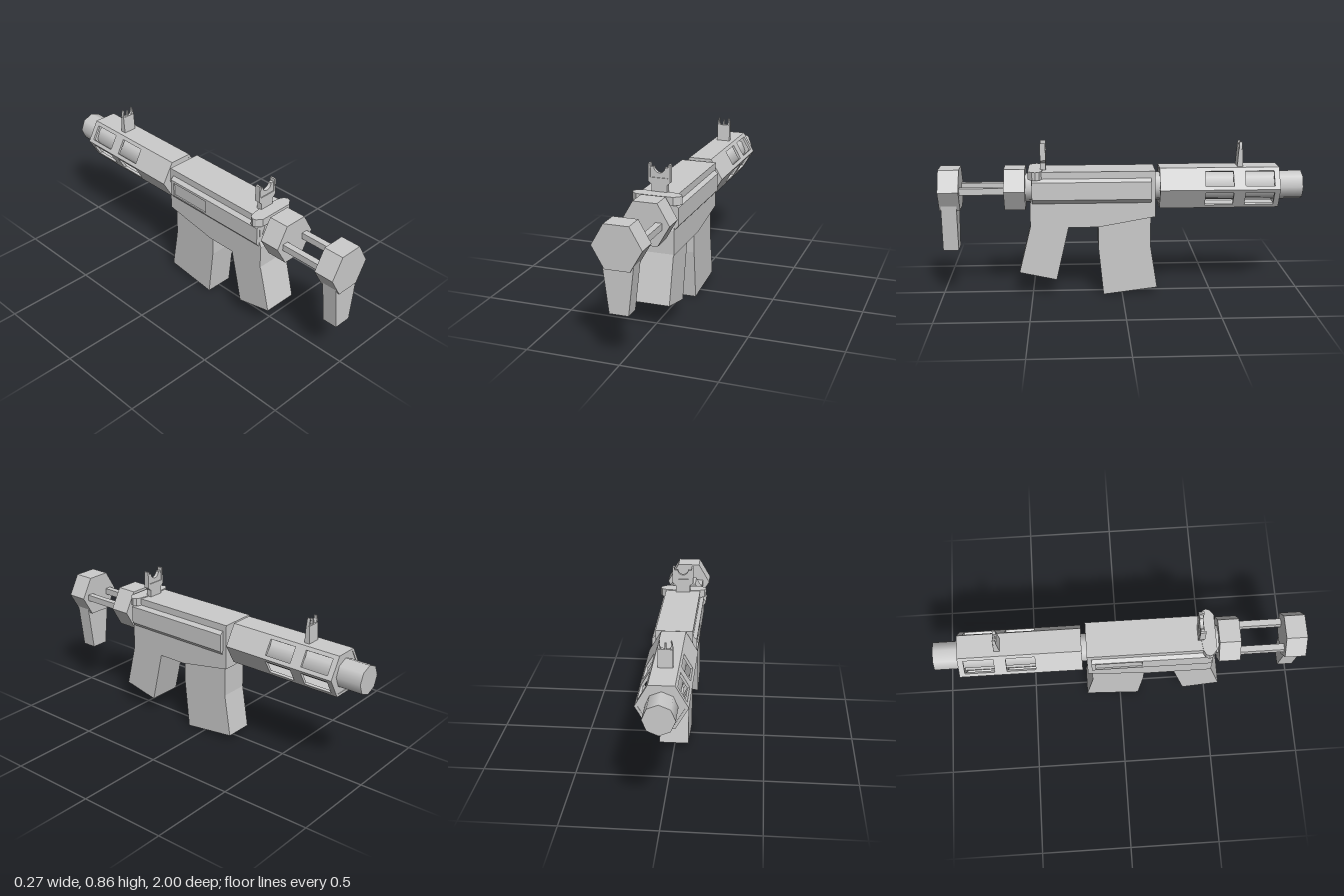
import * as THREE from 'three';

const AXIS = 0.607; // height of the barrel axis
const HEX = 0.13; // hexagon corner radius
const flat = new THREE.MeshStandardMaterial({ color: 0xcccccc, flatShading: true });
const smooth = new THREE.MeshStandardMaterial({ color: 0xcccccc });

const poly = (pts) => new THREE.Shape(pts.map(([a, b]) => new THREE.Vector2(a, b)));
const rect = (x0, y0, x1, y1) => poly([[x0, y0], [x1, y0], [x1, y1], [x0, y1]]);
const extrude = (shape, depth) =>
  new THREE.ExtrudeGeometry(shape, { depth, bevelEnabled: false, curveSegments: 10 });

// Side outline given as [z, y], extruded to a width centred on x = 0
function sideSlab(pts, halfWidth) {
  return extrude(poly(pts), halfWidth * 2).translate(0, 0, -halfWidth).rotateY(-Math.PI / 2);
}

// Front outline in x, y running from z0 to z1
const run = (shape, z0, z1) => extrude(shape, z1 - z0).translate(0, 0, z0);

function hexShape(r) {
  return poly([0, 1, 2, 3, 4, 5].map((i) => [r * Math.cos(i * Math.PI / 3), r * Math.sin(i * Math.PI / 3)]));
}

export function createModel() {
  const model = new THREE.Group();
  const add = (name, geometry, parent = model, material = flat) => {
    const mesh = new THREE.Mesh(geometry, material);
    mesh.name = name;
    parent.add(mesh);
    return mesh;
  };

  // Barrel tube running the whole length through receiver and handguard
  const barrel = new THREE.CylinderGeometry(0.08, 0.08, 1.54, 8).rotateX(Math.PI / 2);
  add('barrel', barrel.translate(0, AXIS, -0.23), model, smooth);

  // Hollow hexagonal handguard: six wall panels, slotted on the four slanted sides
  const handguard = new THREE.Group();
  handguard.name = 'handguard';
  handguard.position.y = AXIS;
  model.add(handguard);
  for (let i = 0; i < 6; i++) {
    const wall = rect(-HEX / 2, 0.205, HEX / 2, 0.865);
    if (i % 3 !== 0) {
      for (const [a, b] of [[0.455, 0.61], [0.675, 0.835]]) wall.holes.push(rect(-0.044, a, 0.044, b));
    }
    const apothem = HEX * Math.cos(Math.PI / 6);
    const panel = extrude(wall, 0.014).rotateX(-Math.PI / 2).translate(0, apothem - 0.014, 0);
    add('handguardWall', panel.rotateZ(i * Math.PI / 3), handguard);
  }
  for (const z of [-0.862, -0.222]) {
    const cap = hexShape(0.122);
    cap.holes.push(new THREE.Path().absarc(0, 0, 0.072, 0, Math.PI * 2, true));
    add('handguardCap', run(cap, z, z + 0.014), handguard);
  }

  // Stock: two hexagonal blocks joined by a pair of rods, with a tapered foot
  for (const [name, z0, z1] of [['stockCollar', 0.53, 0.645], ['stockEnd', 0.887, 1]]) {
    add(name, run(hexShape(HEX), z0, z1).translate(0, AXIS, 0));
  }
  for (const s of [-1, 1]) {
    add('stockRod', new THREE.BoxGeometry(0.035, 0.036, 0.28).translate(s * 0.073, 0.603, 0.766));
  }
  add('stockFoot', run(poly([[-0.05, 0.265], [0.05, 0.265], [0.081, 0.525], [-0.081, 0.525]]), 0.905, 0.99));

  // Receiver body, grip and magazine
  add('receiver', sideSlab([
    [-0.18, 0.455], [0.13, 0.4], [0.505, 0.4], [0.505, 0.535], [0.495, 0.56], [0.495, 0.71], [-0.18, 0.71],
  ], 0.1));
  add('grip', sideSlab([[0.295, 0.405], [0.365, 0.1], [0.57, 0.145], [0.505, 0.405]], 0.097));
  add('magazine', sideSlab([
    [0.133, 0.42], [0.133, 0.28], [0.105, 0.005], [-0.195, 0.042], [-0.157, 0.28], [-0.157, 0.48],
  ], 0.08));

  // Chamfered side rails; the right one is split around a recessed port
  const rail = [[0.095, 0.535], [0.1, 0.535], [0.12, 0.558], [0.12, 0.655], [0.1, 0.672], [0.095, 0.672]];
  const lower = [[0.095, 0.535], [0.1, 0.535], [0.12, 0.558], [0.12, 0.566], [0.095, 0.566]];
  const upper = [[0.095, 0.641], [0.12, 0.641], [0.12, 0.655], [0.1, 0.672], [0.095, 0.672]];
  const mirror = (pts) => pts.map(([x, y]) => [-x, y]);
  add('leftRail', run(poly(rail), -0.157, 0.493));
  const rightRail = new THREE.Group();
  rightRail.name = 'rightRail';
  model.add(rightRail);
  add('railFront', run(poly(mirror(rail)), -0.157, -0.135), rightRail);
  add('railRear', run(poly(mirror(rail)), 0.115, 0.493), rightRail);
  add('railLower', run(poly(mirror(lower)), -0.135, 0.115), rightRail);
  add('railUpper', run(poly(mirror(upper)), -0.135, 0.115), rightRail);
  add('portCover', new THREE.BoxGeometry(0.02, 0.08, 0.252).translate(-0.102, 0.603, -0.01), rightRail);

  // Charging handle with rounded wing tips, outlined from above
  const wing = [[0.055, 0.435], [0.1, 0.44], [0.125, 0.452], [0.134, 0.472], [0.128, 0.49], [0.1, 0.513]];
  const outline = [...wing, ...mirror(wing).reverse()].map(([x, z]) => [x, -z]);
  add('chargingHandle', extrude(poly(outline), 0.045).rotateX(-Math.PI / 2).translate(0, 0.67, 0));

  // Rear sight: outer bracket with a thinner notched plate inside
  const rearSight = new THREE.Group();
  rearSight.name = 'rearSight';
  model.add(rearSight);
  add('sightBracket', run(poly([
    [-0.042, 0.7], [0.042, 0.7], [0.042, 0.75], [0.06, 0.766], [0.06, 0.86], [0.049, 0.86],
    [0.049, 0.788], [-0.049, 0.788], [-0.049, 0.86], [-0.06, 0.86], [-0.06, 0.766], [-0.042, 0.75],
  ]), 0.417, 0.447), rearSight);
  const plate = new THREE.Shape();
  plate.moveTo(-0.05, 0.78).lineTo(0.05, 0.78).lineTo(0.05, 0.843).lineTo(0.03, 0.843);
  plate.absarc(0, 0.843, 0.03, 0, Math.PI, true);
  plate.lineTo(-0.05, 0.843);
  add('notchPlate', run(plate, 0.422, 0.442), rearSight);

  // Front sight: tapering base, two flared ears and a centre post
  const frontSight = new THREE.Group();
  frontSight.name = 'frontSight';
  model.add(frontSight);
  add('sightBase', sideSlab([[-0.668, 0.71], [-0.636, 0.71], [-0.643, 0.815], [-0.664, 0.815]], 0.038), frontSight);
  add('sightPost', run(rect(-0.004, 0.81, 0.004, 0.845), -0.66, -0.647), frontSight);
  const ear = [[0.02, 0.81], [0.038, 0.81], [0.036, 0.835], [0.031, 0.855], [0.026, 0.855], [0.029, 0.833]];
  for (const pts of [ear, mirror(ear)]) add('sightEar', run(poly(pts), -0.662, -0.645), frontSight);

  return model;
}
